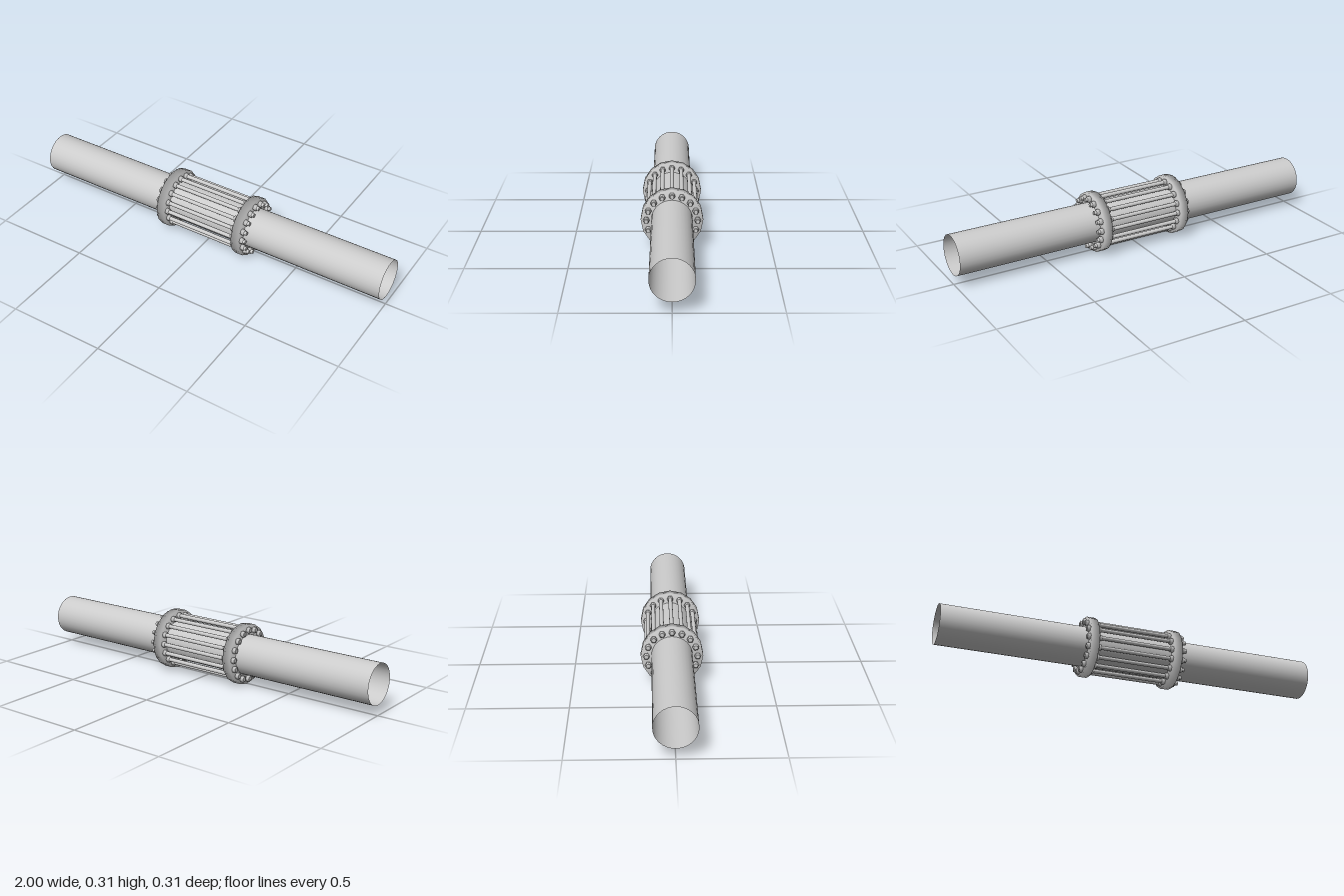
import * as THREE from 'three';
import { mergeVertices } from 'three/addons/utils/BufferGeometryUtils.js';

const AXIS_Y = 0.156;
const BOLTS = 16;
const BOLT_CIRCLE = 0.128;
const FLANGE_IN = 0.203;
const FLANGE_OUT = 0.246;

const material = new THREE.MeshStandardMaterial({ color: 0xcccccc });
const thinMaterial = new THREE.MeshStandardMaterial({ color: 0xcccccc, side: THREE.DoubleSide });

// Cylinder lying along x between x0 and x1
function barX(x0, x1, radius, sides, open = false) {
  const g = new THREE.CylinderGeometry(radius, radius, x1 - x0, sides, 1, open);
  g.rotateZ(-Math.PI / 2);
  g.translate((x0 + x1) / 2, 0, 0);
  return g;
}

// Weld corners so the shading runs smoothly over the edges
function softened(geometry) {
  geometry.deleteAttribute('normal');
  geometry.deleteAttribute('uv');
  const g = mergeVertices(geometry, 1e-5);
  g.computeVertexNormals();
  return g;
}

function addMesh(parent, name, geometry, mat = material) {
  const mesh = new THREE.Mesh(geometry, mat);
  mesh.name = name;
  parent.add(mesh);
  return mesh;
}

export function createModel() {
  const model = new THREE.Group();
  model.name = 'flangedPipeJoint';
  const body = new THREE.Group();
  body.name = 'pipeAssembly';
  body.position.y = AXIS_Y;
  model.add(body);

  // Open pipe running the full length
  addMesh(body, 'pipe', barX(-1, 1, 0.103, 32, true), thinMaterial);

  // Pair of solid 16-sided flanges
  addMesh(body, 'leftFlange', softened(barX(FLANGE_IN, FLANGE_OUT, 0.156, 16)));
  addMesh(body, 'rightFlange', softened(barX(-FLANGE_OUT, -FLANGE_IN, 0.156, 16)));

  // Shared bolt parts: a long stud, and nuts on both faces of each flange
  const stud = barX(-0.264, 0.276, 0.0105, 12);
  const nuts = [
    ['leftOuterNut', FLANGE_OUT, 0.263],
    ['leftInnerNut', 0.187, FLANGE_IN],
    ['rightInnerNut', -FLANGE_IN, -0.187],
    ['rightOuterNut', -0.262, -FLANGE_OUT],
  ].map(([name, x0, x1]) => [name, softened(barX(x0, x1, 0.016, 6))]);

  // Ring of bolts around the pipe
  for (let i = 0; i < BOLTS; i++) {
    const angle = (i / BOLTS) * Math.PI * 2;
    const bolt = new THREE.Group();
    bolt.name = `bolt${i + 1}`;
    bolt.position.set(0, Math.cos(angle) * BOLT_CIRCLE, Math.sin(angle) * BOLT_CIRCLE);
    addMesh(bolt, 'stud', stud);
    for (const [name, geometry] of nuts) addMesh(bolt, name, geometry);
    body.add(bolt);
  }

  return model;
}
